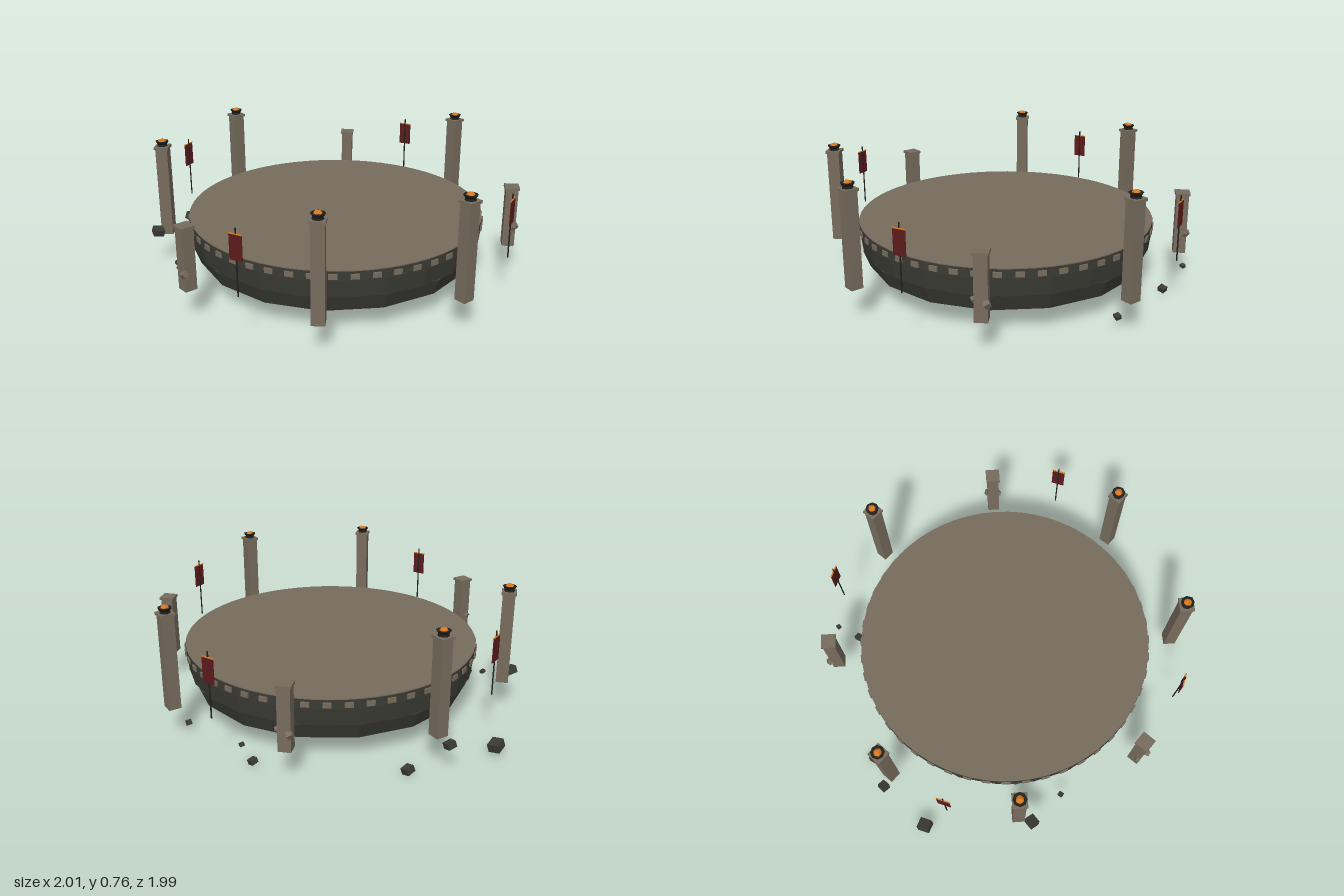
import * as THREE from 'three';

const mat = (name, color, extra = {}) => Object.assign(new THREE.MeshStandardMaterial({ color, flatShading: true, ...extra }), { name });

export function createModel() {
  const stone = mat('pale stone', 0x776c5d);
  const rock = mat('dark rock', 0x3b3b35);
  const iron = mat('black iron', 0x20201e);
  const cloth = mat('red cloth', 0x5c1a1c, { side: THREE.DoubleSide });
  const ember = mat('ember orange', 0xd9781f);

  const model = new THREE.Group();
  model.name = 'arena';
  const add = (parent, name, geometry, material, x = 0, y = 0, z = 0) => {
    const mesh = new THREE.Mesh(geometry, material);
    mesh.name = name;
    mesh.position.set(x, y, z);
    parent.add(mesh);
    return mesh;
  };
  // ring centre, slightly off the origin because of the loose rubble
  const ring = new THREE.Group();
  ring.name = 'arenaRing';
  ring.position.set(0.021, 0, 0.018);
  model.add(ring);
  // group standing on the ring, its local z pointing outward
  const spoke = (name, angle, radius) => {
    const g = new THREE.Group();
    g.name = name;
    g.position.set(Math.sin(angle) * radius, 0, Math.cos(angle) * radius);
    g.rotation.y = angle;
    ring.add(g);
    return g;
  };

  // platform: floor, rim, wall and tapering base
  add(ring, 'floor', new THREE.CylinderGeometry(0.834, 0.834, 0.005, 64), stone, 0, 0.3745, 0);
  add(ring, 'rim', new THREE.CylinderGeometry(0.835, 0.835, 0.05, 64), rock, 0, 0.347, 0);
  add(ring, 'wall', new THREE.CylinderGeometry(0.835, 0.822, 0.1, 24), rock, 0, 0.272, 0);
  add(ring, 'base', new THREE.CylinderGeometry(0.825, 0.79, 0.092, 16), rock, 0, 0.176, 0);

  // studs around the rim
  const studGeo = new THREE.BoxGeometry(0.045, 0.028, 0.016);
  for (let i = 0; i < 48; i++) {
    const stud = spoke('rimStud', ((i + 0.5) / 48) * Math.PI * 2, 0.834);
    add(stud, 'studBlock', studGeo, stone, 0, 0.345, 0);
  }

  // pillars: whole ones carry a brazier, broken ones are shorter
  const broken = [1, 3, 6];
  for (let i = 0; i < 8; i++) {
    const short = broken.includes(i);
    const top = short ? 0.52 : 0.703;
    const p = spoke(short ? 'brokenPillar' : 'pillar', (i + 0.5) * Math.PI / 4, 0.995);
    add(p, 'shaft', new THREE.BoxGeometry(0.068, top - 0.18, 0.068), stone, 0, (top + 0.18) / 2, 0);
    add(p, 'cap', new THREE.BoxGeometry(0.081, 0.015, 0.081), stone, 0, top + 0.0075, 0);
    if (short) {
      for (const [x, y, z, s] of [[0.03, 0.28, 0.036, 0.03], [-0.034, 0.295, 0.02, 0.024]]) {
        add(p, 'chip', new THREE.BoxGeometry(s, s, s), stone, x, y, z).rotation.set(0.5, 0.4, 0.3);
      }
    } else {
      add(p, 'brazierFoot', new THREE.CylinderGeometry(0.026, 0.03, 0.012, 8), iron, 0, 0.723, 0);
      add(p, 'brazierBowl', new THREE.CylinderGeometry(0.038, 0.026, 0.018, 8), iron, 0, 0.737, 0);
      add(p, 'embers', new THREE.IcosahedronGeometry(0.026, 0), ember, 0, 0.741, 0).scale.y = 0.8;
    }
  }

  // banners between the pillars
  for (let i = 0; i < 4; i++) {
    const b = spoke('banner', (i + 0.5) * Math.PI / 2, 1.025);
    add(b, 'pole', new THREE.CylinderGeometry(0.004, 0.004, 0.36, 6), iron, 0, 0.457, 0);
    add(b, 'cloth', new THREE.BoxGeometry(0.073, 0.135, 0.004), cloth, 0, 0.537, 0.003);
    add(b, 'crossbar', new THREE.BoxGeometry(0.075, 0.005, 0.007), ember, 0, 0.606, 0.002);
  }

  // floating rubble: x, y, z, size, turn
  const rubble = [
    [-0.4, 0.16, -0.97, 0.045, 0.3], [-0.195, 0.03, -0.955, 0.046, 0.5],
    [-0.69, 0.06, -0.855, 0.062, 0.7], [0.555, 0.03, -0.735, 0.036, 0.5],
    [0.61, 0.18, -0.82, 0.022, 0.2], [-0.965, 0.215, -0.31, 0.054, 0.15],
    [-0.89, 0.105, -0.08, 0.024, 0.4], [0.865, 0.062, -0.33, 0.03, 0.1],
  ];
  for (const [x, y, z, s, turn] of rubble) {
    const r = add(model, 'rubble', new THREE.BoxGeometry(s * 1.1, s * 0.75, s), rock, x, y, z);
    r.rotation.set(0.25, turn, -0.2 - turn * 0.3);
  }
  return model;
}
